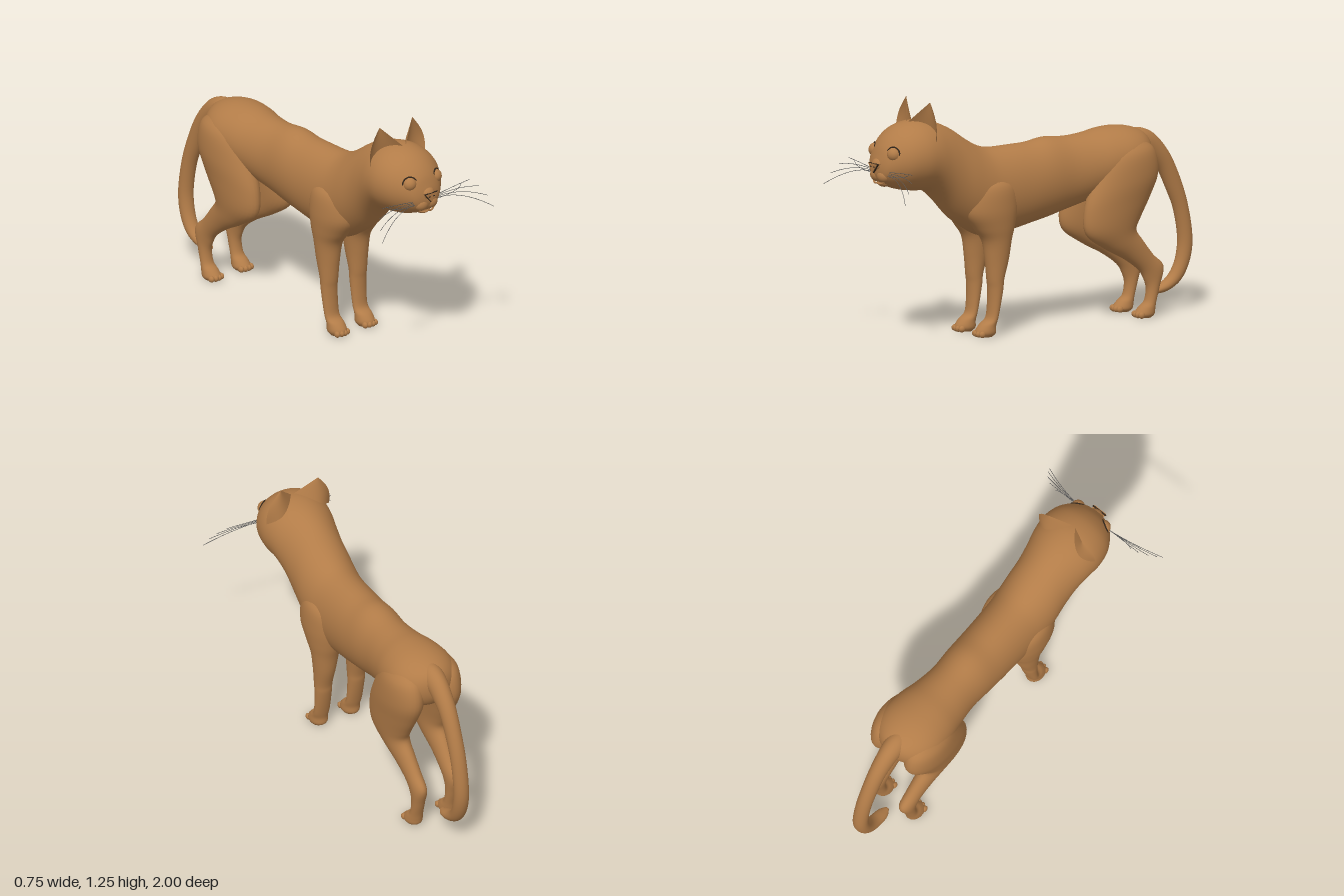
import * as THREE from 'three';

const fur = new THREE.MeshStandardMaterial({ color: 0xb27c48 });
fur.name = 'fur';
const furSheet = new THREE.MeshStandardMaterial({ color: 0xb27c48, side: THREE.DoubleSide });
furSheet.name = 'ear fur';
const dark = new THREE.MeshStandardMaterial({ color: 0x33261a });
dark.name = 'dark lines';
const grey = new THREE.MeshStandardMaterial({ color: 0x5c5c5c });
grey.name = 'whisker grey';

const V = (x, y, z) => new THREE.Vector3(x, y, z);

function add(parent, name, geometry, material, position) {
  const mesh = new THREE.Mesh(geometry, material);
  mesh.name = name;
  if (position) mesh.position.copy(position);
  parent.add(mesh);
  return mesh;
}

// Smooth skin through elliptical rings: [y1, z1, y2, z2, centre x, half width],
// where (y1,z1) and (y2,z2) are opposite edges of the ring in side profile.
function loft(rings, side = 1, steps = 5, sides = 32) {
  const curve = (f) => new THREE.CatmullRomCurve3(rings.map(f), false, 'catmullrom', 0.5);
  const edgeA = curve((r) => V(0, r[0], r[1]));
  const edgeB = curve((r) => V(0, r[2], r[3]));
  const width = curve((r) => V(r[4] * side, r[5], 0));
  const n = (rings.length - 1) * steps;
  const pos = [], index = [];
  for (let i = 0; i <= n; i++) {
    const a = edgeA.getPoint(i / n), b = edgeB.getPoint(i / n), w = width.getPoint(i / n);
    const c = a.clone().add(b).multiplyScalar(0.5), d = a.clone().sub(c);
    for (let j = 0; j < sides; j++) {
      const t = (j / sides) * Math.PI * 2;
      pos.push(w.x + w.y * Math.sin(t), c.y + d.y * Math.cos(t), c.z + d.z * Math.cos(t));
    }
  }
  for (let i = 0; i < n; i++) {
    for (let j = 0; j < sides; j++) {
      const k = (j + 1) % sides, p = i * sides, q = p + sides;
      index.push(p + j, p + k, q + j, p + k, q + k, q + j);
    }
  }
  // End caps
  for (const [row, start] of [[0, true], [n, false]]) {
    const r = rings[start ? 0 : rings.length - 1], centre = pos.length / 3;
    pos.push(r[4] * side, (r[0] + r[2]) / 2, (r[1] + r[3]) / 2);
    for (let j = 0; j < sides; j++) {
      const p = row * sides + j, q = row * sides + ((j + 1) % sides);
      index.push(centre, start ? q : p, start ? p : q);
    }
  }
  const g = new THREE.BufferGeometry();
  g.setAttribute('position', new THREE.Float32BufferAttribute(pos, 3));
  g.setIndex(index);
  g.computeVertexNormals();
  return g;
}

// Ear: curved sheet rising from a bowed base line to a tip
function ear(side) {
  const base = new THREE.QuadraticBezierCurve3(V(0.005, 1.145, 0.74), V(0.1, 1.13, 0.58), V(0.185, 1.06, 0.685));
  const tip = V(0.11, 1.257, 0.67), pos = [], index = [], n = 14, m = 8;
  for (let i = 0; i <= m; i++) {
    for (let j = 0; j <= n; j++) {
      const u = j / n, v = i / m;
      const p = base.getPoint(u).lerp(tip, v);
      p.x += 0.026 * Math.sin(Math.PI * v) * u * u;
      pos.push(p.x * side, p.y, p.z);
      if (i < m && j < n) {
        const a = i * (n + 1) + j, b = a + n + 1;
        index.push(a, a + 1, b, a + 1, b + 1, b);
      }
    }
  }
  const g = new THREE.BufferGeometry();
  g.setAttribute('position', new THREE.Float32BufferAttribute(pos, 3));
  g.setIndex(index);
  g.computeVertexNormals();
  return g;
}

export function createModel() {
  const cat = new THREE.Group();
  cat.name = 'cat';

  // Head, neck and trunk: z, top, bottom, half width
  const trunk = [
    [0.932, 0.95, 0.9, 0.02], [0.92, 0.99, 0.865, 0.068], [0.9, 1.04, 0.845, 0.1], [0.86, 1.09, 0.825, 0.138],
    [0.8, 1.132, 0.805, 0.174], [0.72, 1.153, 0.792, 0.19], [0.64, 1.148, 0.78, 0.182], [0.56, 1.125, 0.715, 0.167],
    [0.48, 1.085, 0.625, 0.16], [0.4, 1.03, 0.565, 0.162], [0.32, 0.985, 0.52, 0.16], [0.24, 0.965, 0.51, 0.155],
    [0.1, 0.965, 0.53, 0.15], [0, 0.968, 0.55, 0.148], [-0.1, 0.983, 0.57, 0.145], [-0.22, 0.974, 0.6, 0.14],
    [-0.34, 0.98, 0.63, 0.155], [-0.44, 0.995, 0.66, 0.175], [-0.54, 0.998, 0.69, 0.182], [-0.62, 0.985, 0.71, 0.165],
    [-0.68, 0.96, 0.74, 0.12], [-0.715, 0.925, 0.79, 0.06], [-0.725, 0.88, 0.84, 0.015],
  ];
  add(cat, 'headAndTrunk', loft(trunk.map(([z, t, b, w]) => [t, z, b, z, 0, w]), 1, 4, 48), fur);

  // Tail: outer edge, inner edge
  add(cat, 'tail', loft([
    [0.975, -0.62, 0.87, -0.64, 0, 0.045], [0.97, -0.69, 0.84, -0.69, 0, 0.055], [0.93, -0.77, 0.8, -0.735, 0, 0.05],
    [0.83, -0.855, 0.74, -0.795, 0, 0.044], [0.7, -0.92, 0.63, -0.85, 0, 0.041], [0.55, -0.97, 0.52, -0.895, 0, 0.04],
    [0.38, -0.998, 0.38, -0.92, 0, 0.04], [0.26, -0.985, 0.28, -0.912, -0.002, 0.04], [0.16, -0.935, 0.21, -0.885, -0.005, 0.038],
    [0.11, -0.86, 0.165, -0.845, -0.006, 0.036], [0.098, -0.79, 0.138, -0.79, -0.006, 0.03], [0.11, -0.752, 0.122, -0.752, -0.006, 0.01],
  ]), fur);

  // Legs: back edge, front edge
  const frontLeg = [
    [0.84, 0.22, 0.84, 0.34, 0.085, 0.03], [0.78, 0.15, 0.78, 0.42, 0.09, 0.08], [0.68, 0.135, 0.66, 0.44, 0.092, 0.092],
    [0.58, 0.15, 0.57, 0.385, 0.092, 0.084], [0.5, 0.172, 0.5, 0.335, 0.094, 0.07], [0.4, 0.19, 0.4, 0.318, 0.096, 0.058],
    [0.3, 0.218, 0.3, 0.308, 0.097, 0.049], [0.25, 0.224, 0.25, 0.302, 0.097, 0.047], [0.17, 0.24, 0.17, 0.302, 0.096, 0.045],
    [0.1, 0.256, 0.1, 0.312, 0.095, 0.044], [0.06, 0.265, 0.07, 0.352, 0.094, 0.046], [0.025, 0.265, 0.035, 0.378, 0.094, 0.048],
    [0.006, 0.285, 0.01, 0.365, 0.094, 0.036],
  ];
  const hindLeg = [
    [0.94, -0.62, 0.93, -0.48, 0.1, 0.04], [0.88, -0.695, 0.85, -0.39, 0.105, 0.086], [0.76, -0.715, 0.72, -0.32, 0.11, 0.094],
    [0.64, -0.665, 0.59, -0.275, 0.112, 0.082], [0.54, -0.61, 0.47, -0.285, 0.112, 0.07], [0.475, -0.585, 0.385, -0.4, 0.108, 0.058],
    [0.41, -0.63, 0.32, -0.52, 0.104, 0.047], [0.33, -0.695, 0.255, -0.61, 0.1, 0.04], [0.265, -0.758, 0.2, -0.645, 0.1, 0.038],
    [0.17, -0.735, 0.15, -0.66, 0.1, 0.035], [0.09, -0.712, 0.09, -0.65, 0.1, 0.036], [0.05, -0.705, 0.06, -0.615, 0.1, 0.042],
    [0.022, -0.7, 0.03, -0.59, 0.1, 0.045], [0.006, -0.68, 0.01, -0.605, 0.1, 0.034],
  ];

  for (const s of [1, -1]) {
    const label = s > 0 ? 'left' : 'right';
    add(cat, label + 'FrontLeg', loft(frontLeg, s), fur);
    add(cat, label + 'HindLeg', loft(hindLeg, s), fur);

    // Toes
    for (const [x, z] of [[0.094, 0.365], [0.1, -0.605]]) {
      for (let i = 0; i < 4; i++) {
        const off = (i - 1.5) * 0.022;
        const toe = add(cat, label + 'Toe', new THREE.SphereGeometry(0.0155, 12, 8), fur,
          V(s * (x + off), 0.024, z + 0.006 - Math.abs(off) * 0.3));
        toe.scale.set(0.9, 1.1, 1.2);
      }
    }

    add(cat, label + 'Ear', ear(s), furSheet);

    // Eyeball in a dark rim
    const eye = new THREE.Group();
    eye.name = label + 'Eye';
    eye.position.set(s * 0.085, 1.005, 0.874);
    eye.lookAt(V(s * 0.6, 1.14, 1.8));
    add(eye, 'eyeball', new THREE.SphereGeometry(0.036, 24, 16), fur);
    add(eye, 'eyeRim', new THREE.TorusGeometry(0.037, 0.004, 8, 32), dark, V(0, 0, 0.008));
    cat.add(eye);

    // Muzzle pad
    const pad = add(cat, label + 'MuzzlePad', new THREE.SphereGeometry(0.04, 20, 14), fur, V(s * 0.03, 0.888, 0.9));
    pad.scale.set(1.05, 0.9, 0.85);

    // Whiskers
    const tips = [[0.295, 0.933, 0.9], [0.335, 0.897, 0.93], [0.36, 0.85, 0.965], [0.375, 0.795, 0.998], [0.25, 0.925, 0.89]];
    tips.forEach(([x, y, z], i) => {
      const path = new THREE.QuadraticBezierCurve3(
        V(s * 0.06, 0.912 - i * 0.005, 0.905), V(s * 0.22, 0.93 - i * 0.008, 0.9 + i * 0.005), V(s * x, y, z));
      add(cat, label + 'Whisker', new THREE.TubeGeometry(path, 14, 0.0014, 5), grey);
    });

    // Nostril and mouth line
    const nostril = add(cat, label + 'Nostril', new THREE.SphereGeometry(0.006, 10, 8), dark, V(s * 0.015, 0.937, 0.95));
    nostril.scale.set(1.2, 0.6, 0.4);
    const lip = new THREE.QuadraticBezierCurve3(V(0, 0.852, 0.921), V(s * 0.025, 0.842, 0.922), V(s * 0.05, 0.858, 0.908));
    add(cat, label + 'Lip', new THREE.TubeGeometry(lip, 10, 0.005, 6), fur);
  }

  // Chin
  const chin = add(cat, 'chin', new THREE.SphereGeometry(0.04, 20, 14), fur, V(0, 0.85, 0.878));
  chin.scale.set(1, 0.6, 0.9);

  // Nose: bridge, and triangular tip with a dark outline
  const bridge = add(cat, 'noseBridge', new THREE.SphereGeometry(0.045, 20, 14), fur, V(0, 0.945, 0.905));
  bridge.scale.set(1, 0.8, 0.9);
  const triangle = (w, top, low) => new THREE.Shape([
    new THREE.Vector2(-w, top), new THREE.Vector2(0, low), new THREE.Vector2(w, top)]);
  add(cat, 'noseOutline', new THREE.ExtrudeGeometry(triangle(0.044, 0.954, 0.903), { depth: 0.008, bevelEnabled: false }), dark, V(0, 0, 0.938));
  add(cat, 'nose', new THREE.ExtrudeGeometry(triangle(0.039, 0.951, 0.907), { depth: 0.05, bevelEnabled: false }), fur, V(0, 0, 0.9));

  return cat;
}
